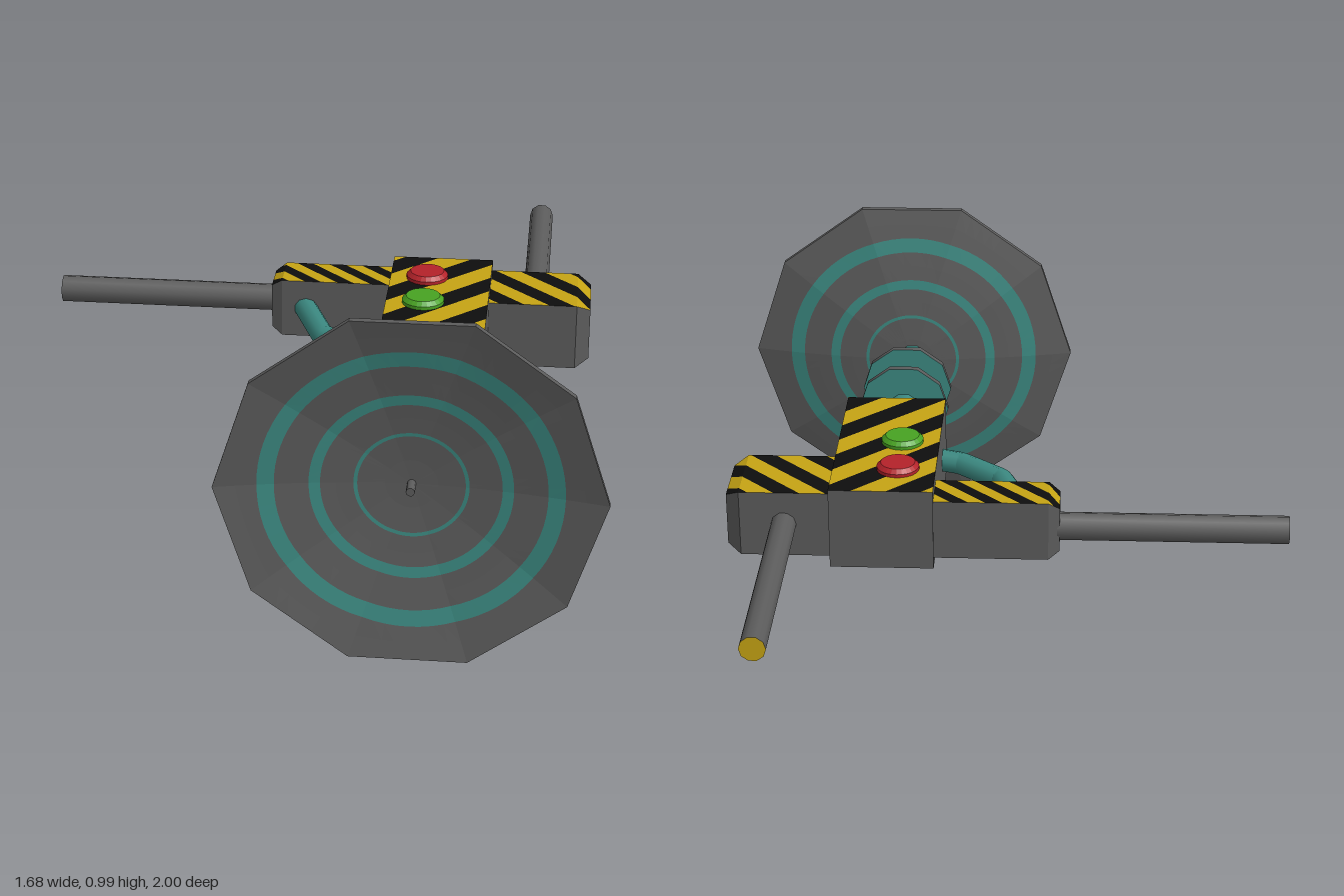
import * as THREE from 'three';

const mat = (name, color) => new THREE.MeshStandardMaterial({ name, color });
const CY = 0.495; // height of the common centre line
const MX = 0.32;  // x of the mast and dish

export function createModel() {
  const model = new THREE.Group();
  model.name = 'dishDevice';
  const grey = mat('grey', 0x5c5c5c);
  const teal = mat('teal', 0x3c8a82);
  const yellow = mat('hazardYellow', 0xc6a414);
  const black = mat('hazardBlack', 0x0e0e0e);
  const red = mat('buttonRed', 0xb4222a);
  const green = mat('buttonGreen', 0x48a322);

  const add = (name, geo, material, parent = model) => {
    const mesh = new THREE.Mesh(geo, material);
    mesh.name = name;
    parent.add(mesh);
    return mesh;
  };

  // Flat-faced geometry from convex polygons, one material group per list
  const fromPolygons = (lists) => {
    const pos = [];
    const geo = new THREE.BufferGeometry();
    lists.forEach((polys, m) => {
      const start = pos.length / 3;
      for (const p of polys) {
        for (let i = 1; i < p.length - 1; i++) {
          for (const v of [p[0], p[i], p[i + 1]]) pos.push(v.x, v.y, v.z);
        }
      }
      geo.addGroup(start, pos.length / 3 - start, m);
    });
    geo.setAttribute('position', new THREE.Float32BufferAttribute(pos, 3));
    geo.computeVertexNormals();
    return geo;
  };

  // Keeps the part of a polygon where f(v) >= 0
  const clip = (poly, f) => {
    const out = [];
    poly.forEach((a, i) => {
      const b = poly[(i + 1) % poly.length];
      const fa = f(a), fb = f(b);
      if (fa >= 0) out.push(a);
      if ((fa >= 0) !== (fb >= 0)) out.push(a.clone().lerp(b, fa / (fa - fb)));
    });
    return out;
  };

  // Block with a tapered end; top and bottom carry diagonal stripes.
  // stations: [distance, half width, half height]; place maps them to the model
  const block = (name, stations, place, slope, period, phase) => {
    const lists = [[], [], []];
    const rings = stations.map(([t, w, h]) =>
      [[-w, h], [w, h], [w, -h], [-w, -h]].map(([a, b]) => place(t, a, CY + b)));
    const centre = new THREE.Vector3();
    rings.flat().forEach((v) => centre.addScaledVector(v, 1 / (rings.length * 4)));
    const outward = (p) => {
      const n = new THREE.Vector3().crossVectors(p[1].clone().sub(p[0]), p[2].clone().sub(p[0]));
      return n.dot(p[0].clone().sub(centre)) < 0 ? p.slice().reverse() : p;
    };
    lists[0].push(outward(rings[0]), outward(rings[rings.length - 1]));
    for (let s = 0; s < rings.length - 1; s++) {
      for (let k = 0; k < 4; k++) {
        const j = (k + 1) % 4;
        const face = outward([rings[s][k], rings[s][j], rings[s + 1][j], rings[s + 1][k]]);
        if (k % 2) { lists[0].push(face); continue; }
        const half = period / 2;
        for (let i = -30; i < 30; i++) {
          const u = (v) => v.x + slope * v.z - phase - i * half;
          const piece = clip(clip(face, u), (v) => half - u(v));
          if (piece.length > 2) lists[i & 1 ? 2 : 1].push(piece);
        }
      }
    }
    add(name, fromPolygons(lists), [grey, yellow, black]);
  };
  const V = (x, y, z) => new THREE.Vector3(x, y, z);
  block('mainBody', [[-0.31, 0.15, 0.123], [0.33, 0.15, 0.123], [0.39, 0.115, 0.09]],
    (t, w, y) => V(0.325 + w, y, t), 1, 0.2, 0.0);
  block('rightHandBlock', [[0.475, 0.123, 0.1], [0.735, 0.123, 0.1], [0.775, 0.095, 0.078]],
    (t, w, y) => V(t, y, -0.163 + w), -1, 0.15, 0.02);
  block('leftHandBlock', [[-0.175, 0.07, 0.09], [0.155, 0.07, 0.09], [0.187, 0.056, 0.068]],
    (t, w, y) => V(-t, y, -0.235 + w), -1, 0.1, 0.03);

  // Ten-sided rods and discs
  const rod = (r, len) => new THREE.CylinderGeometry(r, r, len, 10, 1, false, Math.PI / 2);
  const alongZ = (name, r, z0, z1, x, material) =>
    add(name, rod(r, z1 - z0).rotateX(Math.PI / 2), material).position.set(x, CY, (z0 + z1) / 2);
  alongZ('mast', 0.05, 0.38, 0.915, MX, teal);
  alongZ('mastDisc', 0.14, 0.522, 0.545, MX, [grey, teal, teal]);
  alongZ('mastDisc', 0.14, 0.675, 0.698, MX, [grey, teal, teal]);
  alongZ('dishPin', 0.012, 0.91, 0.975, MX, grey);
  alongZ('rearRod', 0.037, -1, -0.28, 0.608, [grey, grey, yellow]);
  add('sideRod', rod(0.041, 0.67).rotateZ(Math.PI / 2), [grey, yellow, grey])
    .position.set(-0.51, CY - 0.005, -0.255);

  // Bent hose between side block and body
  const bend = new THREE.CurvePath();
  const pts = [V(-0.09, CY, -0.19), V(-0.01, CY, 0.025), V(0.12, CY, 0.135), V(0.2, CY, 0.16)];
  for (let i = 0; i < 3; i++) bend.add(new THREE.LineCurve3(pts[i], pts[i + 1]));
  add('hose', new THREE.TubeGeometry(bend, 30, 0.034, 10), teal);

  // Push buttons with bevelled tops
  const button = (name, z, material) => {
    const profile = [[0.062, 0], [0.062, 0.01], [0.05, 0.022], [0, 0.022]]
      .map(([x, y]) => new THREE.Vector2(x, y));
    const geo = new THREE.LatheGeometry(profile, 24).toNonIndexed();
    geo.computeVertexNormals();
    add(name, geo, material).position.set(0.285, CY + 0.123, z);
  };
  button('redButton', -0.16, red);
  button('greenButton', 0.023, green);

  // Ten-sided shallow dish with round painted rings on both sides
  const R = 0.52, SEG = 80, STEP = Math.PI / 5;
  const facet = (a) => {
    const local = a - STEP * Math.floor(a / STEP) - STEP / 2;
    return Math.cos(local) / Math.cos(STEP / 2);
  };
  const dishPoint = (r, a, front) => {
    const rr = r < 0.41 ? r : THREE.MathUtils.mapLinear(r, 0.41, R, 0.41, R / facet(a));
    const d = rr * facet(a);
    const z = 0.905 + 0.075 * Math.pow(d / R, 1.7) + (front ? 0.02 : 0);
    return V(MX + rr * Math.cos(a), CY + rr * Math.sin(a), z);
  };
  const radii = [0, 0.07, 0.143, 0.153, 0.2, 0.24, 0.27, 0.315, 0.36, 0.405, 0.46, R];
  const ringStarts = [0.143, 0.24, 0.36];
  const dish = [[], []];
  for (let k = 0; k < SEG; k++) {
    const a = (k / SEG) * Math.PI * 2, b = ((k + 1) / SEG) * Math.PI * 2;
    for (let i = 0; i < radii.length - 1; i++) {
      const list = dish[ringStarts.includes(radii[i]) ? 1 : 0];
      for (const front of [true, false]) {
        const q = [dishPoint(radii[i], a, front), dishPoint(radii[i + 1], a, front),
          dishPoint(radii[i + 1], b, front), dishPoint(radii[i], b, front)];
        if (i === 0) q.pop();
        list.push(front ? q : q.reverse());
      }
    }
    dish[0].push([dishPoint(R, a, false), dishPoint(R, b, false),
      dishPoint(R, b, true), dishPoint(R, a, true)]);
  }
  add('dish', fromPolygons(dish), [grey, teal]);

  return model;
}
